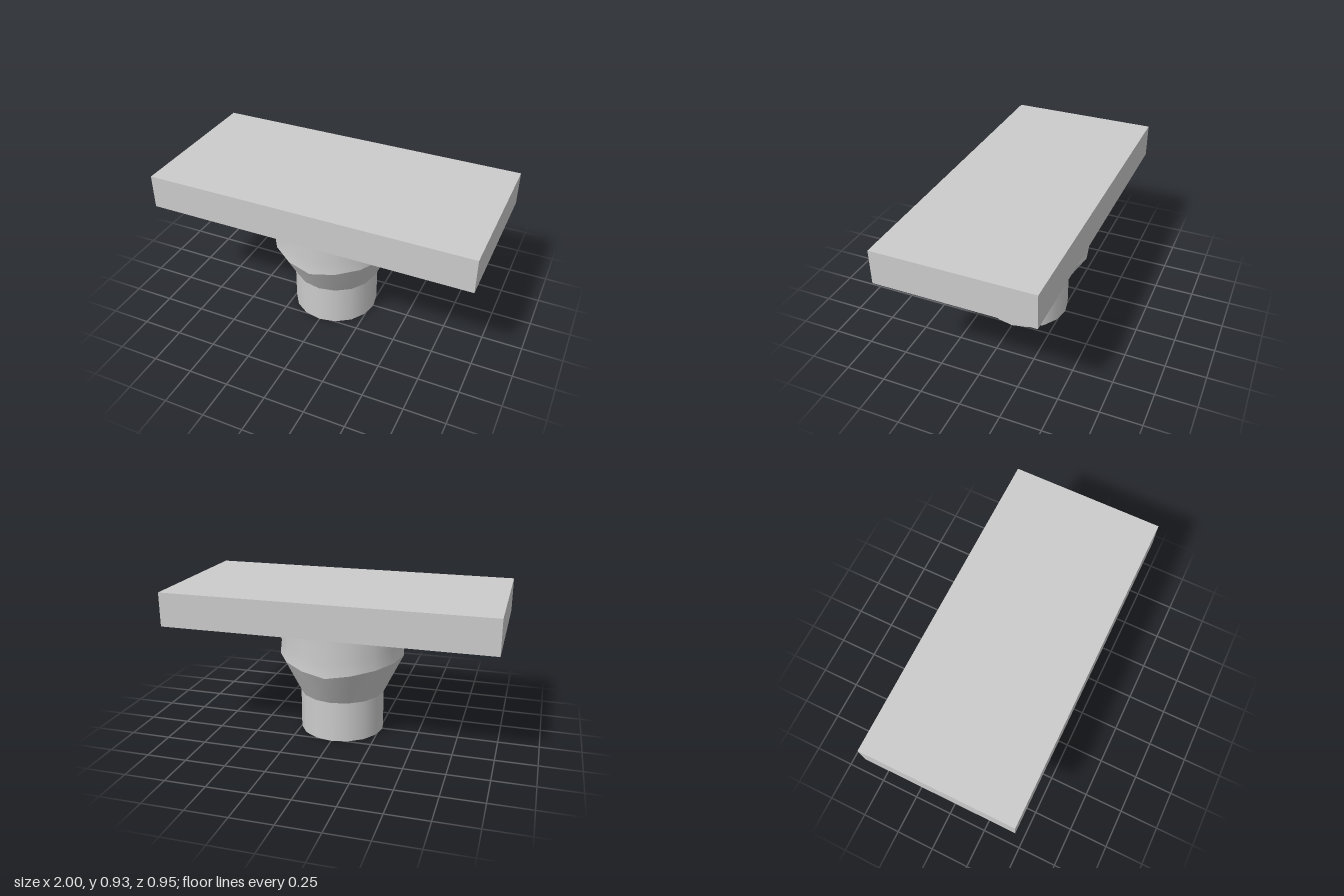
import * as THREE from 'three';

const SIDES = 16;
const material = new THREE.MeshStandardMaterial({ color: 0xcccccc });

// The flare ends in a wavy rim: low at front and back, high at the sides.
const rimHeight = (a) => 0.46 + 0.054 * Math.abs(Math.sin(a));

// Smooth band through rings of { r, y(angle) }, listed from bottom to top.
function loft(rings) {
  const positions = [], index = [];
  rings.forEach(({ r, y }, k) => {
    for (let i = 0; i < SIDES; i++) {
      const a = (i / SIDES) * Math.PI * 2;
      positions.push(r * Math.sin(a), y(a), r * Math.cos(a));
      if (k === 0) continue;
      const j = (i + 1) % SIDES, low = (k - 1) * SIDES, high = k * SIDES;
      index.push(low + i, low + j, high + j, low + i, high + j, high + i);
    }
  });
  const geometry = new THREE.BufferGeometry();
  geometry.setAttribute('position', new THREE.Float32BufferAttribute(positions, 3));
  geometry.setIndex(index);
  geometry.computeVertexNormals();
  return geometry;
}

export function createModel() {
  const group = new THREE.Group();
  const add = (name, geometry, y = 0) => {
    const mesh = new THREE.Mesh(geometry, material);
    mesh.name = name;
    mesh.position.y = y;
    group.add(mesh);
  };

  // Round foot
  add('foot', new THREE.CylinderGeometry(0.267, 0.267, 0.256, SIDES), 0.128);

  // Widening cone up to the wavy rim
  add('flare', loft([
    { r: 0.267, y: () => 0.256 },
    { r: 0.393, y: rimHeight },
  ]));

  // Collar, slightly pinched above the rim
  add('collar', loft([
    { r: 0.393, y: rimHeight },
    { r: 0.384, y: (a) => rimHeight(a) + 0.08 },
    { r: 0.387, y: () => 0.722 },
  ]));

  // Flat rectangular slab on top
  add('slab', new THREE.BoxGeometry(2, 0.21, 0.948), 0.827);

  return group;
}
